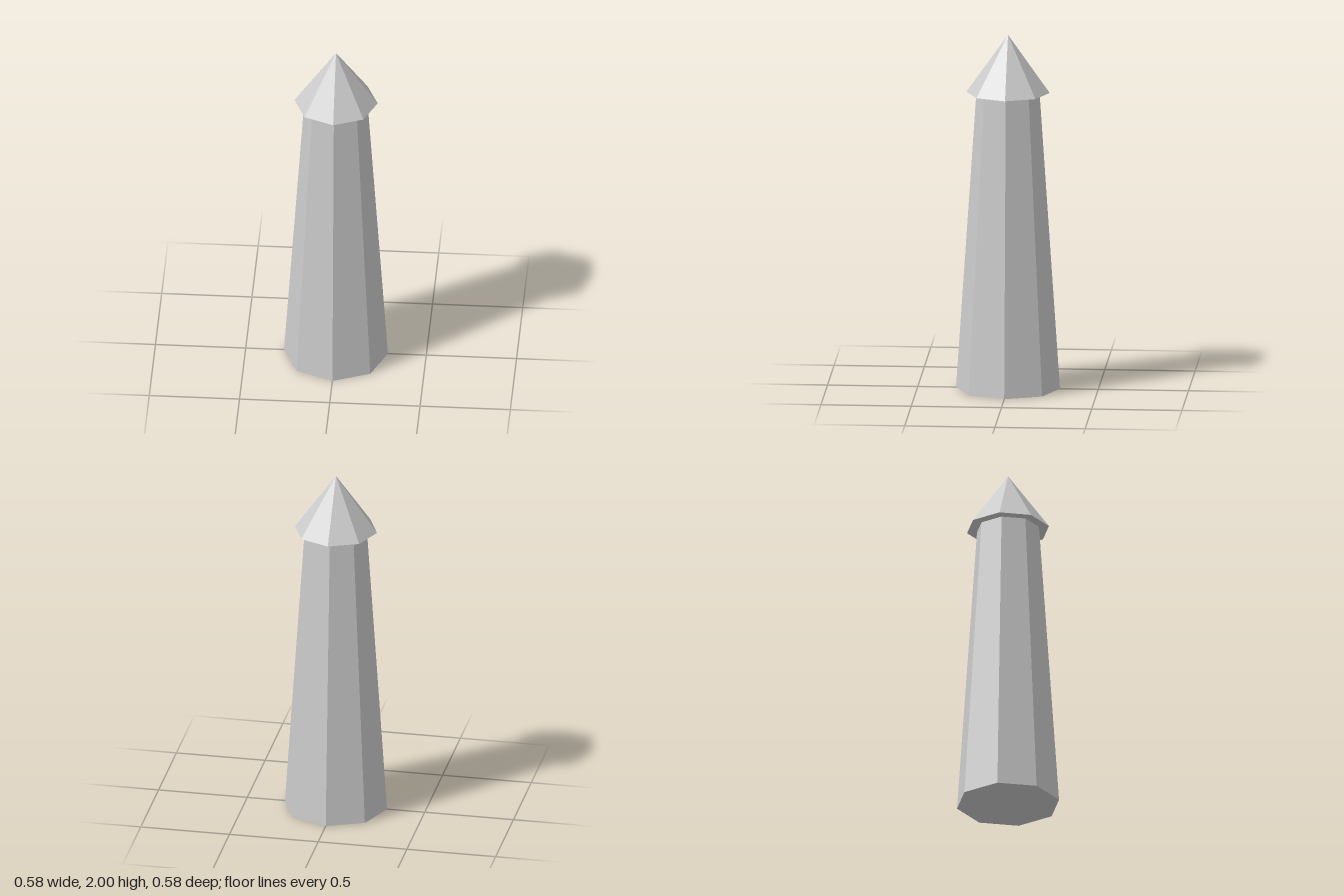
import * as THREE from 'three';

const SIDES = 8;
const EAVES = 1.674; // height where the shaft meets the roof
const HEIGHT = 2;

export function createModel() {
  const group = new THREE.Group();
  group.name = 'tower';
  const material = new THREE.MeshStandardMaterial({ color: 0xcccccc, flatShading: true });

  const add = (name, geometry, y) => {
    const mesh = new THREE.Mesh(geometry, material);
    mesh.name = name;
    mesh.position.y = y;
    group.add(mesh);
  };

  // Tapered octagonal shaft, corners on the axes
  add('shaft', new THREE.CylinderGeometry(0.175, 0.288, EAVES, SIDES), EAVES / 2);

  // Pointed roof overhanging the shaft
  const roofHeight = HEIGHT - EAVES;
  add('roof', new THREE.ConeGeometry(0.231, roofHeight, SIDES), EAVES + roofHeight / 2);

  return group;
}
